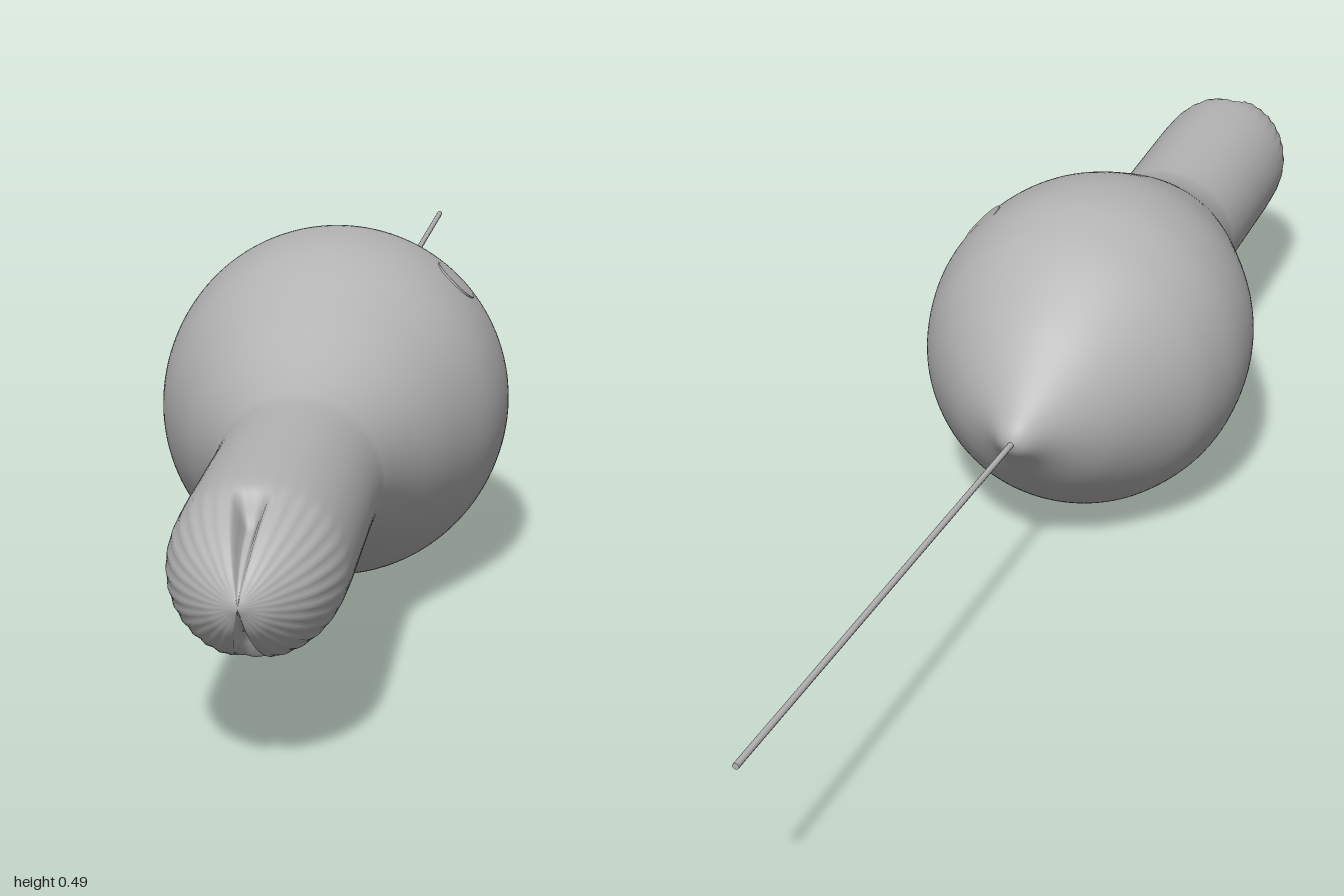
import * as THREE from 'three';
import { mergeVertices } from 'three/addons/utils/BufferGeometryUtils.js';

const TIP = new THREE.Vector3(0.075, 0.247, -0.19); // rear point of the bulb
const YAW = -0.354;

// Silhouette radius against distance in z, from rear point to nose
const PROFILE = [
  [0, -0.19], [0.022, -0.18], [0.058, -0.145], [0.135, -0.08], [0.2, 0], [0.232, 0.065],
  [0.247, 0.145], [0.235, 0.245], [0.19, 0.355], [0.14, 0.455], [0.117, 0.52], [0.111, 0.57],
  [0.111, 0.7], [0.111, 0.82], [0.106, 0.885], [0.083, 0.94], [0.045, 0.98], [0.012, 0.997], [0, 1],
];

function bodyGeometry() {
  const curve = new THREE.SplineCurve(PROFILE.map(([r, z]) =>
    new THREE.Vector2(r, (z - TIP.z) / Math.cos(YAW))));
  const points = curve.getPoints(150);
  points.forEach((p) => { p.x = Math.max(p.x, 0); });
  points[0].x = points[points.length - 1].x = 0;
  let geo = new THREE.LatheGeometry(points, 128).rotateX(Math.PI / 2);
  const pos = geo.attributes.position;
  const length = points[points.length - 1].y;
  for (let i = 0; i < pos.count; i++) {
    const x = pos.getX(i), y = pos.getY(i);
    const back = length - pos.getZ(i);
    // Gathered pleats around the nose
    const pleat = 0.012 * THREE.MathUtils.smoothstep(0.19 - back, 0, 0.12);
    // One slit above and one below, running back from the nose
    const off = Math.atan2(Math.abs(x), Math.abs(y));
    const slit = 0.38 * Math.exp(-Math.pow(off / 0.17, 4))
      * THREE.MathUtils.smoothstep(0.125 - back, 0, 0.025);
    const k = 1 + pleat * (Math.cos(32 * Math.atan2(x, y)) - 1) - slit;
    pos.setXY(i, x * k, y * k);
  }
  geo.deleteAttribute('normal');
  geo.deleteAttribute('uv');
  geo = mergeVertices(geo, 1e-5);
  geo.computeVertexNormals();
  return geo;
}

export function createModel() {
  const model = new THREE.Group();
  const grey = new THREE.MeshStandardMaterial({ color: 0xb4b4b4 });
  grey.name = 'plain grey';
  const add = (name, geo) => {
    const mesh = new THREE.Mesh(geo, grey);
    mesh.name = name;
    model.add(mesh);
    return mesh;
  };

  // Bulb, neck and pleated nose in one skin
  const body = add('body', bodyGeometry());
  body.position.copy(TIP);
  body.rotation.y = YAW;

  // Thin straight tail
  const up = new THREE.Vector3(0, 1, 0);
  const end = new THREE.Vector3(0.412, 0.259, -1);
  const start = new THREE.Vector3(0.068, 0.246, -0.17);
  const dir = end.clone().sub(start);
  const tail = add('tail', new THREE.CylinderGeometry(0.0045, 0.0045, dir.length(), 12));
  tail.position.copy(start).add(end).multiplyScalar(0.5);
  tail.quaternion.setFromUnitVectors(up, dir.normalize());

  // Small round patch set flush on the bulb
  const normal = new THREE.Vector3(0.68, 0.72, 0.16).normalize();
  const patch = add('patch', new THREE.CylinderGeometry(0.035, 0.035, 0.006, 32));
  patch.position.set(-0.056, 0.247, 0.165).addScaledVector(normal, 0.2435);
  patch.quaternion.setFromUnitVectors(up, normal);

  return model;
}
